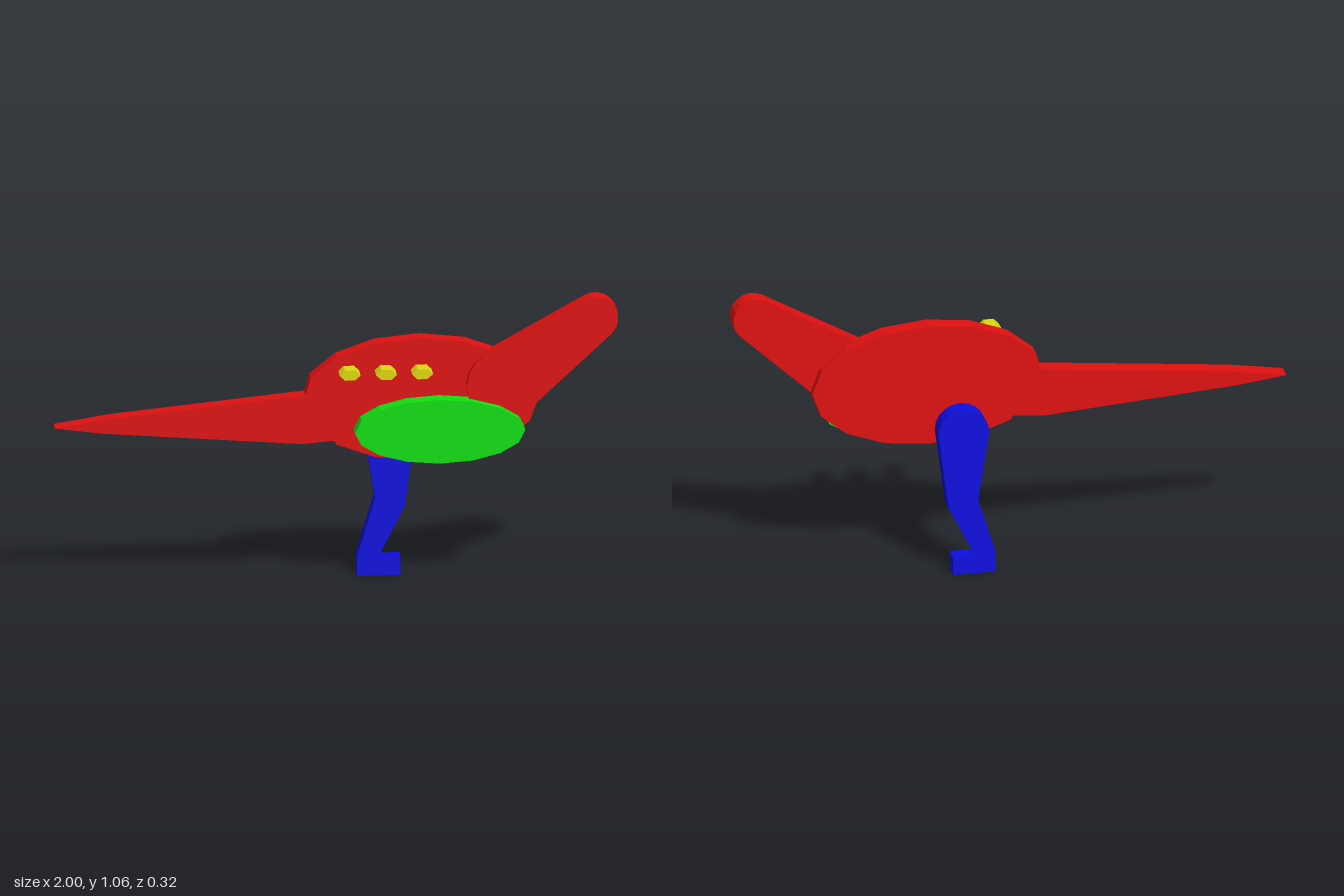
import * as THREE from 'three';

const DEPTH = 0.064;

const paint = (name, color) => {
  const m = new THREE.MeshStandardMaterial({ color });
  m.name = name;
  return m;
};

// Points along an elliptical arc, angles in degrees, both ends included
function arc(cx, cy, rx, ry, from, to, steps) {
  const pts = [];
  for (let i = 0; i <= steps; i++) {
    const a = THREE.MathUtils.degToRad(from + ((to - from) * i) / steps);
    pts.push([cx + rx * Math.cos(a), cy + ry * Math.sin(a)]);
  }
  return pts;
}

// Closed ellipse outline with a given number of sides
const ellipse = (cx, cy, rx, ry, sides) => arc(cx, cy, rx, ry, 0, 360, sides).slice(0, -1);

// Flat plate cut from an outline, its back face at z
function plate(name, points, z, material) {
  const shape = new THREE.Shape(points.map(([x, y]) => new THREE.Vector2(x, y)));
  const geo = new THREE.ExtrudeGeometry(shape, { depth: DEPTH, bevelEnabled: false });
  const mesh = new THREE.Mesh(geo, material);
  mesh.name = name;
  mesh.position.z = z;
  return mesh;
}

export function createModel() {
  const red = paint('red', 0xe01010);
  const green = paint('green', 0x10e010);
  const blue = paint('blue', 0x0e0ee0);
  const yellow = paint('yellow', 0xe0d80e);
  const model = new THREE.Group();
  model.name = 'flatDinosaur';

  // Oval body running into the long pointed tail
  model.add(plate('bodyAndTail', [
    ...arc(0.295, 0.683, 0.421, 0.226, -135, 157.5, 13),
    [-0.112, 0.706], [-0.8, 0.634], [-1, 0.602], [-0.83, 0.58], [-0.123, 0.527], [-0.01, 0.537],
  ], -DEPTH / 2, red));

  // Tapered neck, rounded at the base and at the head
  model.add(plate('neckAndHead', [
    ...arc(0.917, 0.977, 0.079, 0.079, -45, 120, 9),
    ...arc(0.586, 0.735, 0.128, 0.128, 120, 315, 10),
  ], 0, red));

  // Belly oval in front of the body
  model.add(plate('belly', ellipse(0.361, 0.581, 0.302, 0.117, 16), 0.034, green));

  // Leg with rounded hip, bent knee and foot
  model.add(plate('leg', [
    ...arc(0.196, 0.541, 0.092, 0.092, 0, 180, 10),
    [0.144, 0.283], [0.08, 0.07], [0.08, 0], [0.235, 0], [0.235, 0.066], [0.155, 0.066], [0.251, 0.257],
  ], -0.162, blue));

  // Row of small hexagonal back spots
  [0.037, 0.166, 0.294].forEach((x, i) => {
    model.add(plate(`spot${i + 1}`, ellipse(x, 0.813, 0.037, 0.021, 6), 0.098, yellow));
  });

  return model;
}
